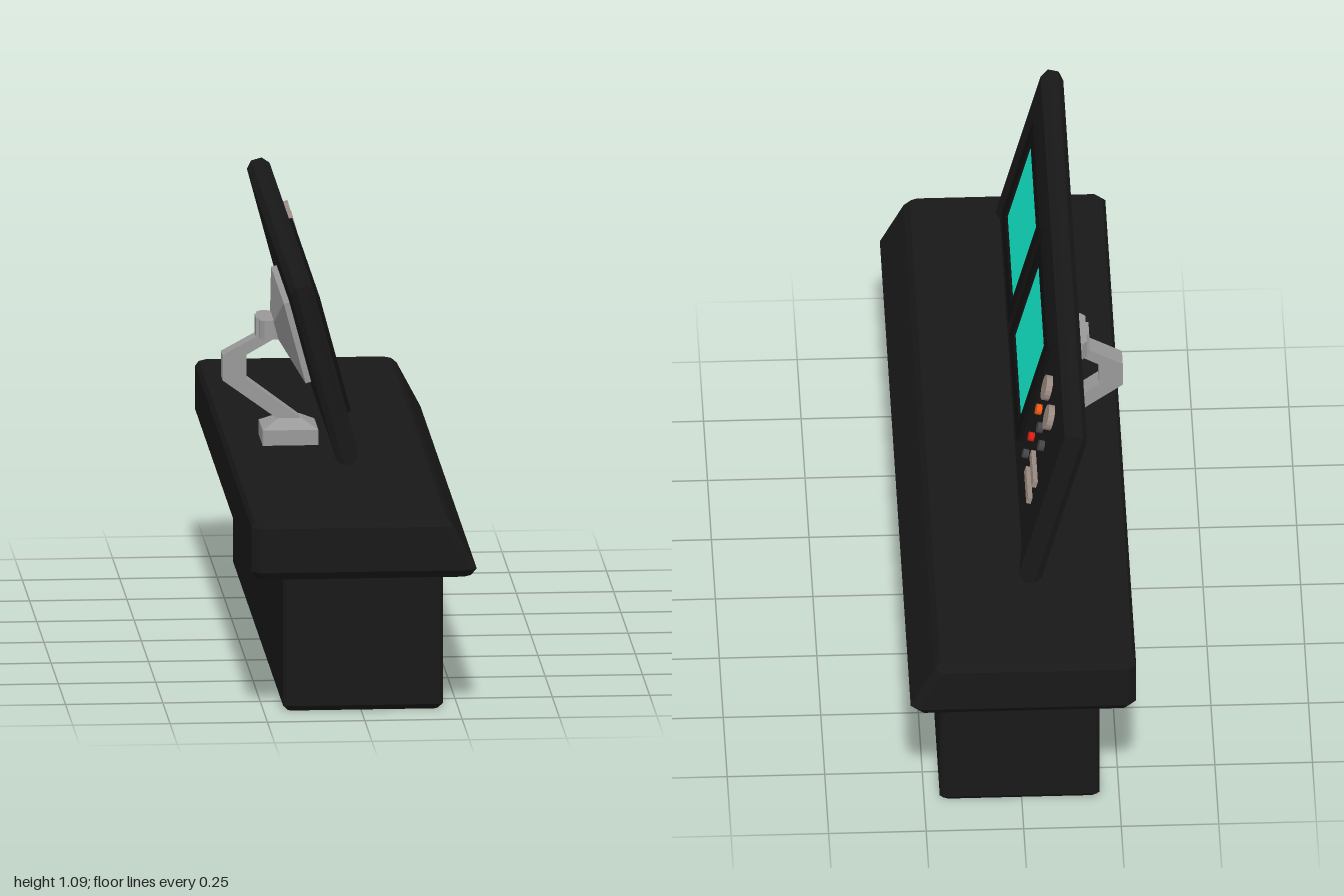
import * as THREE from 'three';

const mat = (color) => new THREE.MeshStandardMaterial({ color, flatShading: true });
const black = mat(0x181818), dark = mat(0x0f0f0f), grey = mat(0x999999), teal = mat(0x12f0cf);
const tan = mat(0x9a8a80), dim = mat(0x444444), orange = mat(0xee5a10), red = mat(0xd81e10);

function add(parent, name, geometry, material, x = 0, y = 0, z = 0) {
  const mesh = new THREE.Mesh(geometry, material);
  mesh.name = name;
  mesh.position.set(x, y, z);
  parent.add(mesh);
  return mesh;
}

// Solid stacked from chamfered rectangles: each ring is [height, xMin, xMax, halfDepth]
function loft(rings, c) {
  const n = 8, pos = [], index = [];
  for (const [y, a, b, d] of rings) {
    const outline = [[b, d - c], [b - c, d], [a + c, d], [a, d - c], [a, c - d], [a + c, -d], [b - c, -d], [b, c - d]];
    for (const [x, z] of outline) pos.push(x, y, z);
  }
  for (let r = 0; r < rings.length - 1; r++) {
    for (let i = 0; i < n; i++) {
      const p = r * n + i, q = r * n + (i + 1) % n;
      index.push(p, p + n, q, q, p + n, q + n);
    }
  }
  const top = (rings.length - 1) * n;
  for (let i = 1; i < n - 1; i++) {
    index.push(0, i, i + 1, top, top + i + 1, top + i);
  }
  const g = new THREE.BufferGeometry();
  g.setAttribute('position', new THREE.Float32BufferAttribute(pos, 3));
  g.setIndex(index);
  const flat = g.toNonIndexed();
  flat.computeVertexNormals();
  return flat;
}

const polygon = (points) => new THREE.Shape(points.map(([x, y]) => new THREE.Vector2(x, y)));
const rect = (w, h) => polygon([[-w / 2, -h / 2], [w / 2, -h / 2], [w / 2, h / 2], [-w / 2, h / 2]]);

function addDesk(parent) {
  add(parent, 'pedestal', loft([[0, -0.187, 0.197, 0.865], [0.014, -0.2, 0.21, 0.877], [0.36, -0.2, 0.21, 0.877]], 0.008), black);
  add(parent, 'deskTop', loft([
    [0.352, -0.2, 0.21, 0.877],
    [0.37, -0.277, 0.275, 0.985],
    [0.39, -0.289, 0.289, 1],
    [0.505, -0.289, 0.228, 1],
    [0.52, -0.281, 0.213, 0.987],
  ], 0.02), black);
}

function addArm(parent) {
  add(parent, 'armBase', loft([[0.515, -0.193, -0.05, 0.07], [0.56, -0.193, -0.05, 0.07], [0.583, -0.15, -0.09, 0.029]], 0.002), grey);
  // Bent arm, outlined from the side
  const profile = polygon([[-0.15, 0.58], [-0.09, 0.58], [-0.232, 0.687], [-0.232, 0.75], [-0.15, 0.797],
    [-0.165, 0.846], [-0.207, 0.846], [-0.207, 0.797], [-0.293, 0.75], [-0.293, 0.684]]);
  add(parent, 'bentArm', new THREE.ExtrudeGeometry(profile, { depth: 0.056, bevelEnabled: false }), grey, 0, 0, -0.028);
  add(parent, 'armHub', loft([[0.797, -0.2, -0.145, 0.066], [0.846, -0.2, -0.16, 0.066]], 0.012), grey);
}

function addDisplay(parent) {
  const display = new THREE.Group();
  display.name = 'display';
  display.position.set(-0.085, 0.856, 0);
  display.rotation.z = THREE.MathUtils.degToRad(15);
  parent.add(display);

  // Mounting plate tapering back to the hub
  const mount = add(display, 'mountPlate', loft([
    [0.028, -0.135, 0.085, 0.22], [0.045, -0.135, 0.085, 0.22], [0.08, -0.04, 0.008, 0.066],
  ], 0.002), grey);
  mount.rotation.z = Math.PI / 2;

  // Local frame of the panel face: x along its width, y up, z outwards
  const face = new THREE.Group();
  face.name = 'displayFace';
  face.rotation.y = Math.PI / 2;
  display.add(face);

  // Bevelled panel with a shallow cut-out along its lower edge
  const outline = polygon([[-0.76, -0.225], [-0.69, -0.19], [0.69, -0.19], [0.76, -0.225], [0.76, 0.225], [-0.76, 0.225]]);
  add(face, 'panel', new THREE.ExtrudeGeometry(outline, {
    depth: 0.028, bevelThickness: 0.016, bevelSize: 0.015, bevelSegments: 1,
  }), black, 0, 0, -0.014);

  // Two framed screens
  for (const x of [-0.41, 0.09]) {
    const frame = rect(0.456, 0.311);
    frame.holes.push(rect(0.365, 0.249));
    add(face, 'screenFrame', new THREE.ExtrudeGeometry(frame, { depth: 0.014, bevelEnabled: false }), dark, x, 0.0155, 0.028);
    add(face, 'screen', new THREE.BoxGeometry(0.365, 0.249, 0.008), teal, x, 0.0155, 0.031);
  }

  // Knobs, lamps and sliders
  const round = (name, r, h, material, x, y) => {
    add(face, name, new THREE.CylinderGeometry(r, r, h, 16), material, x, y, 0.028 + h / 2).rotation.x = Math.PI / 2;
  };
  for (const x of [0.435, 0.56]) round('knob', 0.033, 0.018, tan, x, 0.13);
  round('lamp', 0.014, 0.016, orange, 0.42, 0.047);
  round('lamp', 0.014, 0.016, dim, 0.497, 0.047);
  round('lamp', 0.014, 0.016, dim, 0.573, 0.047);
  round('lamp', 0.012, 0.016, red, 0.437, -0.03);
  round('lamp', 0.012, 0.016, dim, 0.437, -0.086);
  for (const y of [-0.03, -0.083]) add(face, 'slider', new THREE.BoxGeometry(0.133, 0.019, 0.014), tan, 0.573, y, 0.035);
}

export function createModel() {
  const model = new THREE.Group();
  model.name = 'controlDesk';
  addDesk(model);
  // Arm and display share a slight offset along the desk
  const upper = new THREE.Group();
  upper.name = 'displayAssembly';
  upper.position.z = -0.005;
  model.add(upper);
  addArm(upper);
  addDisplay(upper);
  return model;
}
